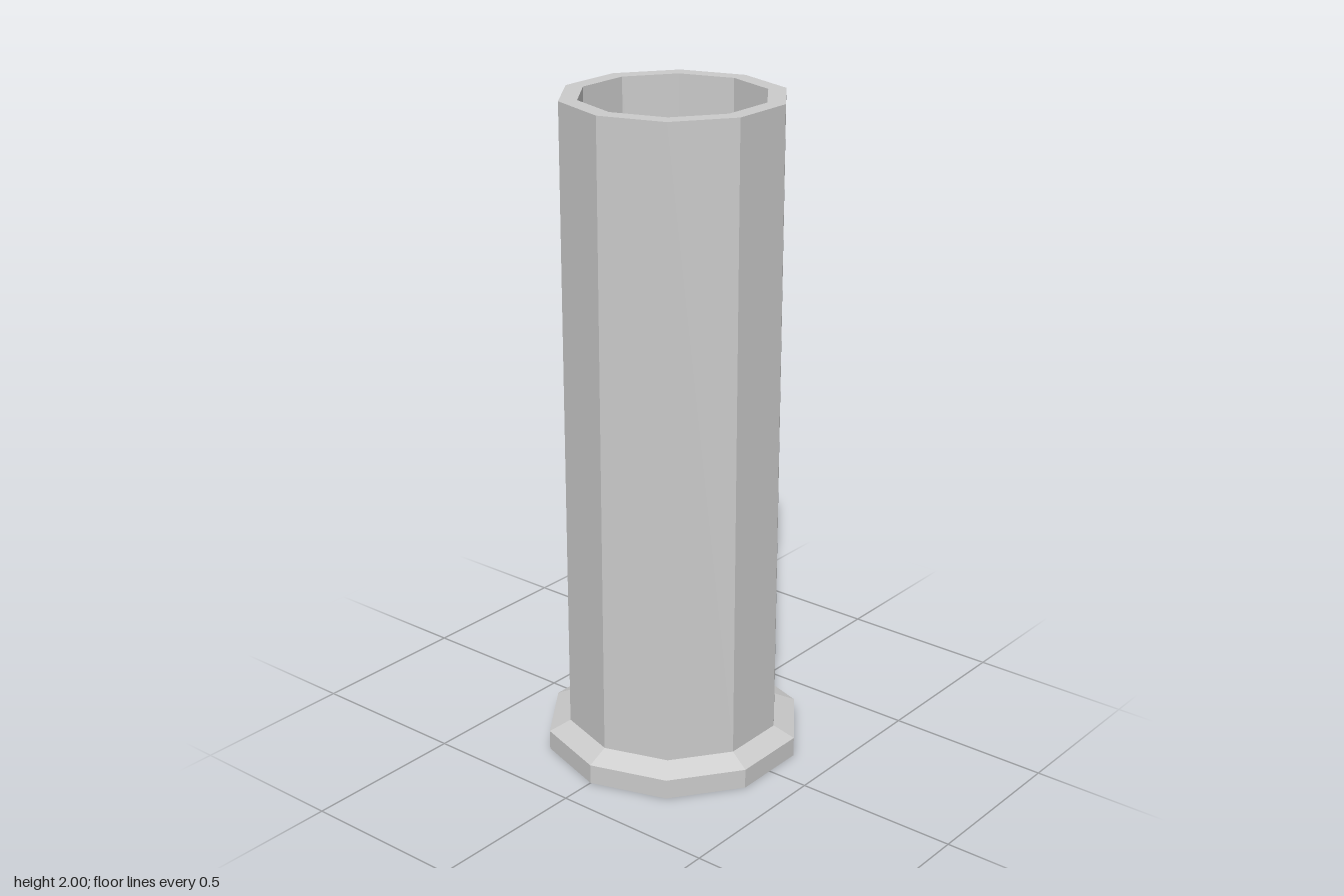
import * as THREE from 'three';

const SIDES = 10;

export function createModel() {
  const group = new THREE.Group();
  const material = new THREE.MeshStandardMaterial({ color: 0xcccccc, flatShading: true });

  // Ten-sided lathe with a corner on the x axis; profile runs outward and up
  const turned = (name, profile) => {
    const points = profile.map(([r, y]) => new THREE.Vector2(r, y));
    const mesh = new THREE.Mesh(new THREE.LatheGeometry(points, SIDES, Math.PI / 2), material);
    mesh.name = name;
    group.add(mesh);
  };

  // Shallow bevelled recess in the underside
  turned('baseRecess', [[0, 0.01], [0.125, 0.01], [0.155, 0]]);

  // Flange with a sloped shoulder
  turned('baseFlange', [[0.155, 0], [0.39, 0], [0.39, 0.06], [0.325, 0.09]]);

  // Open tube: outer wall, flat rim, inner wall and closed floor
  turned('tube', [[0.325, 0.09], [0.325, 2], [0.272, 2], [0.272, 0.09], [0, 0.09]]);

  return group;
}
